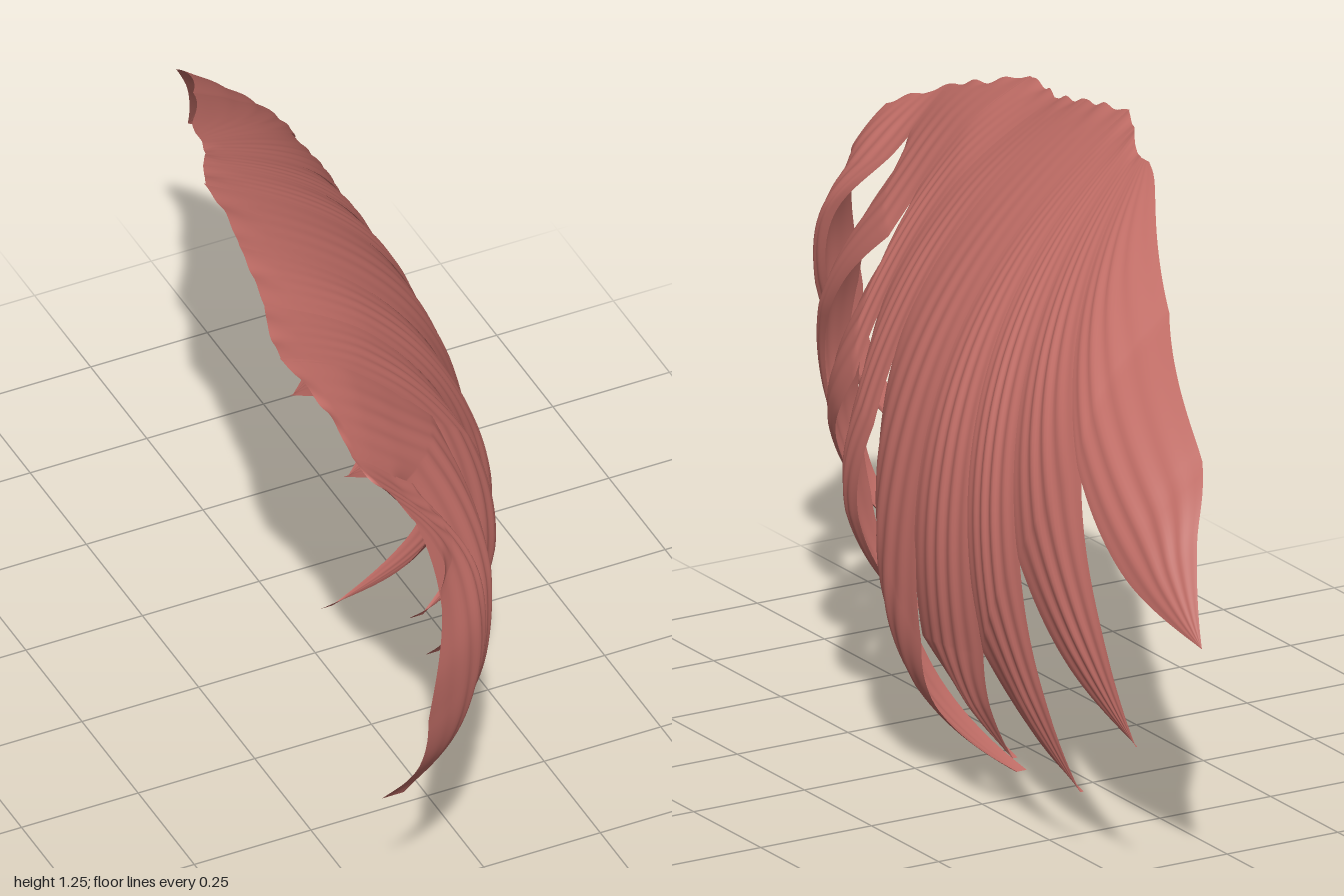
import * as THREE from 'three';

// Seams between neighbouring feathers, as [z, y] from the ridge down to the notch
const seams = [
  [[0.88, 1.02], [0.95, 0.88]],
  [[0.74, 1.09], [0.735, 0.97]],
  [[0.5, 1.17], [0.485, 0.91]],
  [[0.34, 1.18], [0.35, 0.95], [0.36, 0.69]],
  [[0.2, 1.22], [0.2, 0.95], [0.185, 0.65]],
  [[0.03, 1.25], [-0.05, 0.75], [-0.095, 0.31]],
  [[-0.04, 1.24], [-0.21, 0.75], [-0.33, 0.345]],
  [[-0.09, 1.225], [-0.3, 0.87], [-0.45, 0.57]],
  [[-0.14, 1.215], [-0.37, 0.98], [-0.575, 0.78]],
  [[-0.17, 1.215], [-0.25, 1.18], [-0.5, 1.03]],
];

// Free part of each feather: front edge, back edge, tip,
// inward curl of the tip, and depth of its hollow cross-section
const feathers = [
  { front: [[1, 0.7], [0.975, 0.5]], back: [[0.84, 0.84], [0.888, 0.7], [0.91, 0.54]], tip: [0.885, 0.36], curl: 0.205, hollow: 0.115 },
  { front: [[0.795, 0.8], [0.825, 0.66], [0.815, 0.52]], back: [[0.62, 0.78], [0.72, 0.62]], tip: [0.745, 0.43], curl: 0.065, hollow: 0.1 },
  { front: [[0.57, 0.73], [0.595, 0.57], [0.56, 0.43]], back: [[0.41, 0.61], [0.46, 0.53]], tip: [0.49, 0.34], curl: 0.125, hollow: 0.075 },
  { front: [[0.375, 0.53], [0.33, 0.34]], back: [[0.235, 0.45]], tip: [0.245, 0.23], curl: 0.115, hollow: 0.075 },
  { front: [[0.14, 0.42], [0.03, 0.18]], back: [[-0.09, 0.16]], tip: [-0.12, 0.003], curl: 0.115, hollow: 0.06 },
  { front: [[-0.21, 0.2]], back: [[-0.335, 0.23]], tip: [-0.34, 0.12], curl: 0.02, hollow: 0.03 },
  { front: [[-0.46, 0.22]], back: [[-0.55, 0.33]], tip: [-0.605, 0.13], curl: 0.01, hollow: 0.02 },
  { front: [[-0.63, 0.41]], back: [[-0.73, 0.52]], tip: [-0.83, 0.29], curl: 0, hollow: 0.01 },
  { front: [[-0.79, 0.62]], back: [[-0.8, 0.84], [-0.9, 0.7]], tip: [-0.998, 0.53], curl: 0, hollow: 0 },
];

// Outward bulge of the whole wing at a given depth and height
function bulge(z, y) {
  const d = y - 0.42;
  const s = Math.max(0, z + 0.1);
  const r = Math.max(0, -0.5 - z);
  const corner = THREE.MathUtils.smoothstep(z, 0.74, 0.9) * THREE.MathUtils.smoothstep(y, 0.6, 1.02);
  return 0.3 - 0.5 * d * d - 0.4 * d ** 4 - 0.355 * s ** 1.6 - 0.35 * r * r + 0.06 * corner;
}

const spline = (points) =>
  new THREE.SplineCurve(points.map(([z, y]) => new THREE.Vector2(z, y)));

// Feather edge: t = 0 to 0.5 follows the seam to the notch, 0.5 to 1 the free edge to the tip
function edge(seam, free, tip) {
  const upper = spline(seam);
  const lower = spline([seam[seam.length - 1], ...free, tip]);
  return (t) => (t < 0.5 ? upper.getPointAt(2 * t) : lower.getPointAt(2 * t - 1));
}

// Sheet lofted between the two edges of one feather, with fine barb grooves
function featherGeometry(i) {
  const { front, back, tip, curl, hollow } = feathers[i];
  const a = edge(seams[i], front, tip);
  const b = edge(seams[i + 1], back, tip);
  const last = i === feathers.length - 1;
  const rows = 60, cols = 30;
  const positions = [], index = [];
  for (let r = 0; r <= rows; r++) {
    const t = r / rows;
    const pa = a(t), pb = b(t);
    const free = Math.max(0, 2 * t - 1);
    const fade = Math.min(1, (1 - t) * 4);
    const depth = hollow * THREE.MathUtils.smoothstep(t, 0.3, 0.75) * (0.4 + 0.6 * fade);
    for (let c = 0; c <= cols; c++) {
      const k = c / cols;
      const u = last ? k : k * 1.03; // tuck slightly under the next feather
      const z = pa.x + (pb.x - pa.x) * u;
      let y = pa.y + (pb.y - pa.y) * u;
      const arch = Math.sin(Math.PI * k);
      const rim = Math.max(0, 1 - t / 0.15) ** 2 * Math.exp(-(((z - 0.4) / 0.2) ** 2));
      let x = bulge(z, y) - curl * free ** 2.5 - 0.06 * rim;
      x += depth * (0.35 - 1.78 * (k - 0.75) ** 2); // front edge folds inward
      if (last) x -= 0.08 * u * u * Math.min(1, t * 2) * fade; // top edge rolls inward
      x += arch * (0.008 * Math.sin(Math.PI * t)
        + 0.003 * Math.sin(u * 30 + i * 2 + 2 * Math.sin(t * 5 + i)) * Math.min(1, t * 4) * fade);
      x += 0.005 * (1 - k) * Math.sin(Math.PI * t); // front edge lies over its neighbour
      if (r === 0 && !last) y += 0.006 * Math.sin(z * 70) * arch;
      positions.push(x, y, z);
      if (r < rows && c < cols) {
        const p = r * (cols + 1) + c, q = p + cols + 1;
        index.push(p, q, p + 1, p + 1, q, q + 1);
      }
    }
  }
  const geometry = new THREE.BufferGeometry();
  geometry.setAttribute('position', new THREE.Float32BufferAttribute(positions, 3));
  geometry.setIndex(index);
  geometry.computeVertexNormals();
  return geometry;
}

export function createModel() {
  const wing = new THREE.Group();
  wing.name = 'featheredWing';
  const plumage = new THREE.MeshStandardMaterial({ color: 0xbf6c65, side: THREE.DoubleSide });
  plumage.name = 'dusty red';
  feathers.forEach((_, i) => {
    const feather = new THREE.Mesh(featherGeometry(i), plumage);
    feather.name = `feather${i + 1}`;
    wing.add(feather);
  });
  return wing;
}
